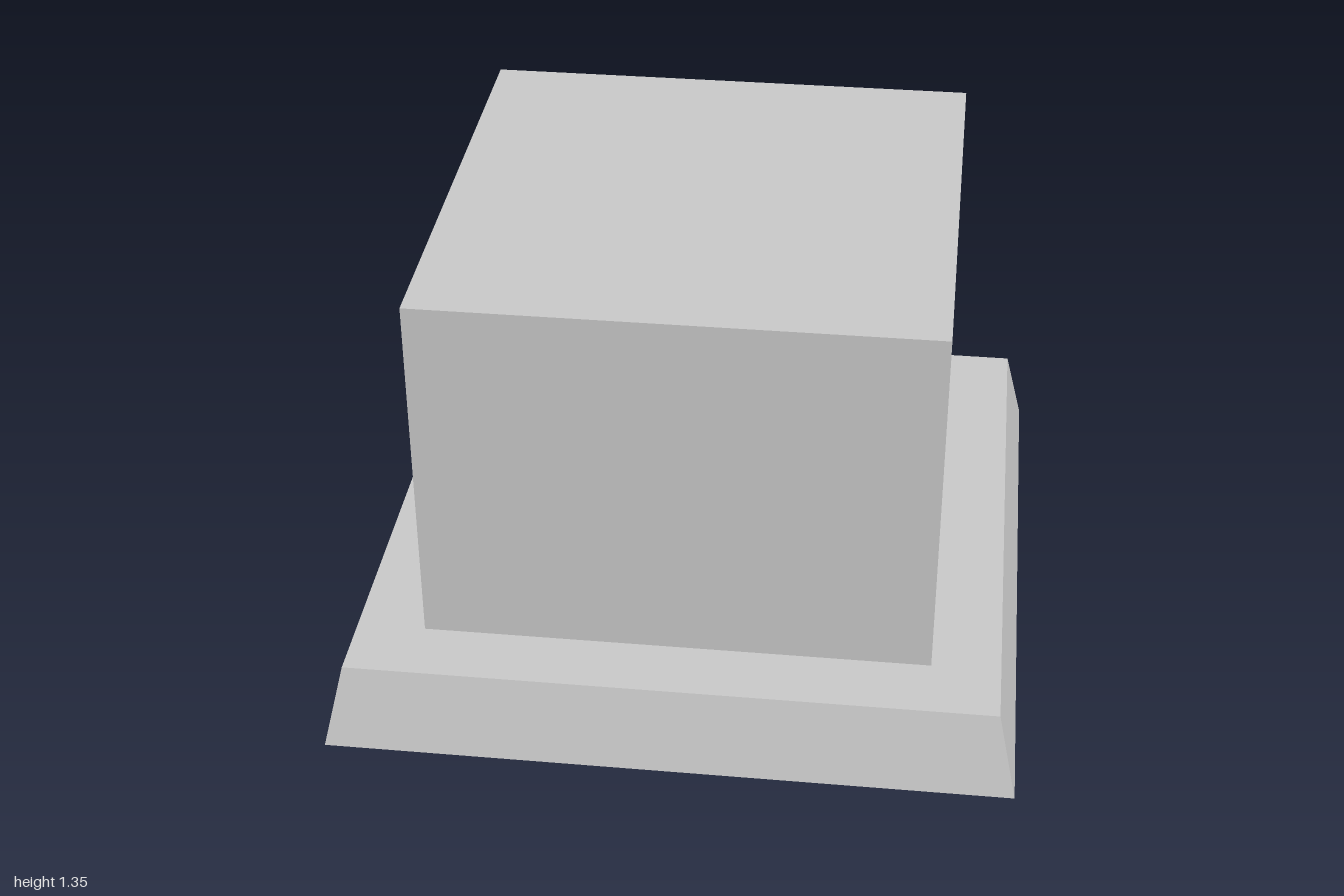
import * as THREE from 'three';

const BASE_HALF = 1;      // half width of the skirt at the ground
const PLATE_HALF = 0.943; // half width of the skirt at its top
const BLOCK_HALF = 0.742;
const BASE_TOP = 0.25;
const TOP = 1.35;

export function createModel() {
  const group = new THREE.Group();
  group.name = 'blockOnBase';
  const solid = new THREE.MeshStandardMaterial({ color: 0xcccccc, flatShading: true });
  const thin = new THREE.MeshStandardMaterial({ color: 0xcccccc, flatShading: true, side: THREE.DoubleSide });

  const add = (name, geometry, material, y) => {
    const mesh = new THREE.Mesh(geometry, material);
    mesh.name = name;
    mesh.position.y = y;
    group.add(mesh);
  };

  // Thin sloping skirt, open underneath
  const skirt = new THREE.CylinderGeometry(
    PLATE_HALF * Math.SQRT2, BASE_HALF * Math.SQRT2, BASE_TOP, 4, 1, true
  ).rotateY(Math.PI / 4);
  add('baseSkirt', skirt, thin, BASE_TOP / 2);

  // Flat plate closing the top of the skirt
  const plate = new THREE.PlaneGeometry(2 * PLATE_HALF, 2 * PLATE_HALF).rotateX(-Math.PI / 2);
  add('basePlate', plate, thin, BASE_TOP);

  // Upper block, standing on the plate
  const block = new THREE.BoxGeometry(2 * BLOCK_HALF, TOP - BASE_TOP, 2 * BLOCK_HALF);
  add('upperBlock', block, solid, (BASE_TOP + TOP) / 2);

  return group;
}
